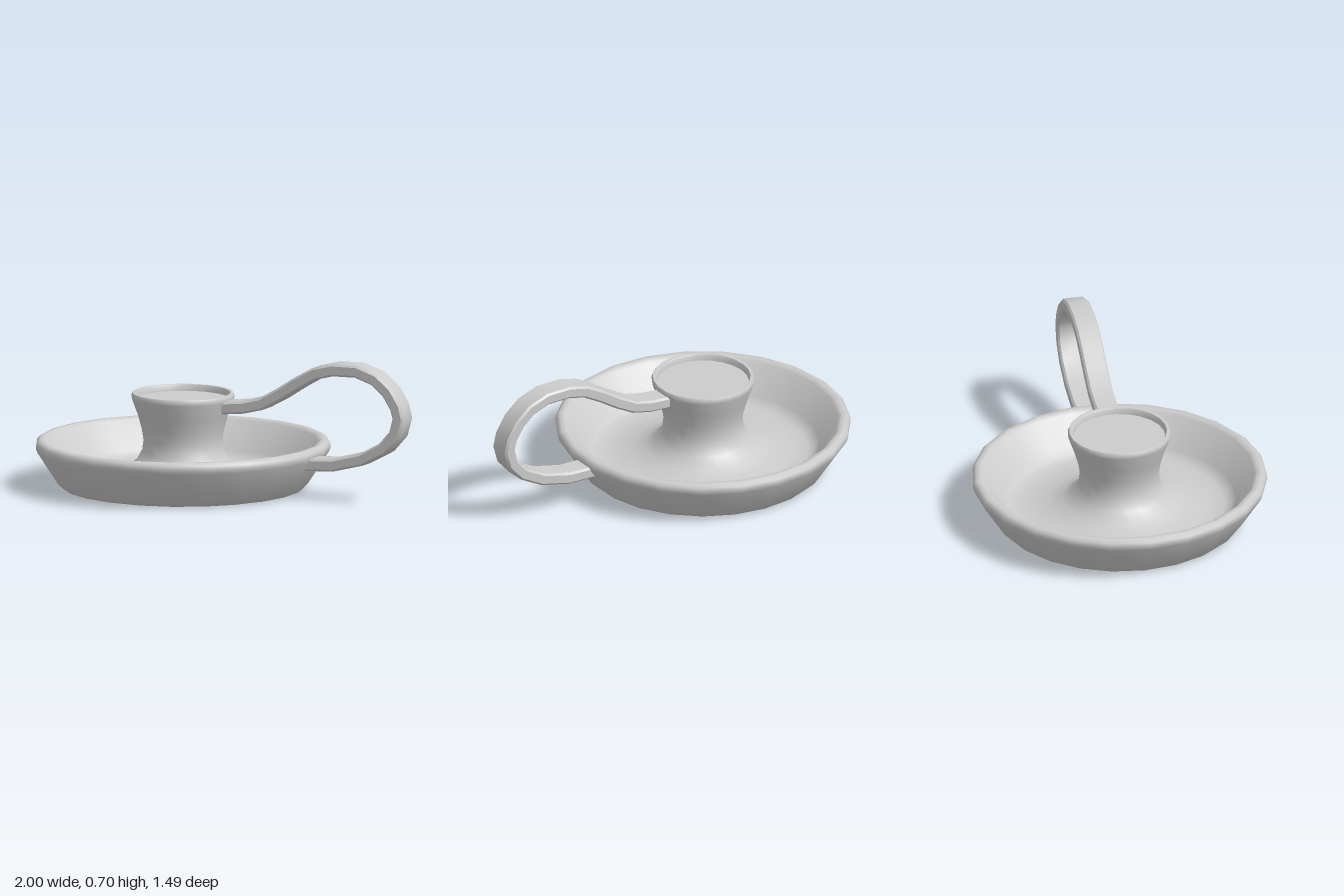
import * as THREE from 'three';
import { toCreasedNormals } from 'three/addons/utils/BufferGeometryUtils.js';

const material = new THREE.MeshStandardMaterial({ color: 0xcccccc });
const toPoints = (list) => list.map(([x, y]) => new THREE.Vector2(x, y));

function addMesh(group, name, geometry, crease) {
  const mesh = new THREE.Mesh(toCreasedNormals(geometry, crease), material);
  mesh.name = name;
  group.add(mesh);
  return mesh;
}

// Flat bar of even thickness that follows a centre line in the xy plane
function bandGeometry(path, half, width, bevel) {
  const outer = [], inner = [];
  path.forEach((p, i) => {
    const before = path[Math.max(i - 1, 0)];
    const after = path[Math.min(i + 1, path.length - 1)];
    const dir = after.clone().sub(before).normalize();
    const normal = new THREE.Vector2(-dir.y, dir.x);
    outer.push(p.clone().addScaledVector(normal, half));
    inner.unshift(p.clone().addScaledVector(normal, -half));
  });
  const geometry = new THREE.ExtrudeGeometry(new THREE.Shape([...outer, ...inner]), {
    depth: width - 2 * bevel, bevelEnabled: true, bevelSegments: 1,
    bevelThickness: bevel, bevelSize: bevel, bevelOffset: -bevel,
  });
  return geometry.translate(0, 0, -width / 2 + bevel);
}

export function createModel() {
  const group = new THREE.Group();
  group.name = 'candleholder';
  const sides = 23, centreX = -0.255;

  // Dish: underside, sloping wall, rounded rim, inner wall and floor
  const dishProfile = toPoints([
    [0, 0], [0.585, 0], [0.61, 0.005], [0.632, 0.025],
    [0.738, 0.19], [0.745, 0.21], [0.743, 0.232], [0.725, 0.247], [0.7, 0.247], [0.682, 0.235],
    [0.59, 0.095], [0.565, 0.07], [0.53, 0.058], [0.45, 0.06],
    // Floor sweeping up into the candle socket
    [0.36, 0.075], [0.29, 0.1], [0.235, 0.14], [0.207, 0.19], [0.2, 0.245],
    [0.208, 0.3], [0.227, 0.37], [0.258, 0.455],
    // Socket lip and shallow recess
    [0.261, 0.472], [0.254, 0.485], [0.24, 0.485], [0.235, 0.478], [0.232, 0.452], [0, 0.452],
  ]);
  const dish = addMesh(group, 'dishAndSocket',
    new THREE.LatheGeometry(dishProfile, sides, -Math.PI / 2), 0.85);
  dish.position.x = centreX;

  // Looped handle from the socket round to the dish wall
  const handlePath = toPoints([
    [-0.018, 0.428], [0.1, 0.44], [0.2, 0.465], [0.3, 0.52], [0.4, 0.585], [0.5, 0.642],
    [0.6, 0.668], [0.73, 0.67], [0.83, 0.637], [0.905, 0.575], [0.952, 0.5], [0.967, 0.44],
    [0.945, 0.36], [0.88, 0.287], [0.76, 0.222], [0.6, 0.181], [0.425, 0.172],
  ]);
  addMesh(group, 'handle', bandGeometry(handlePath, 0.031, 0.12, 0.01), 0.6);

  return group;
}
